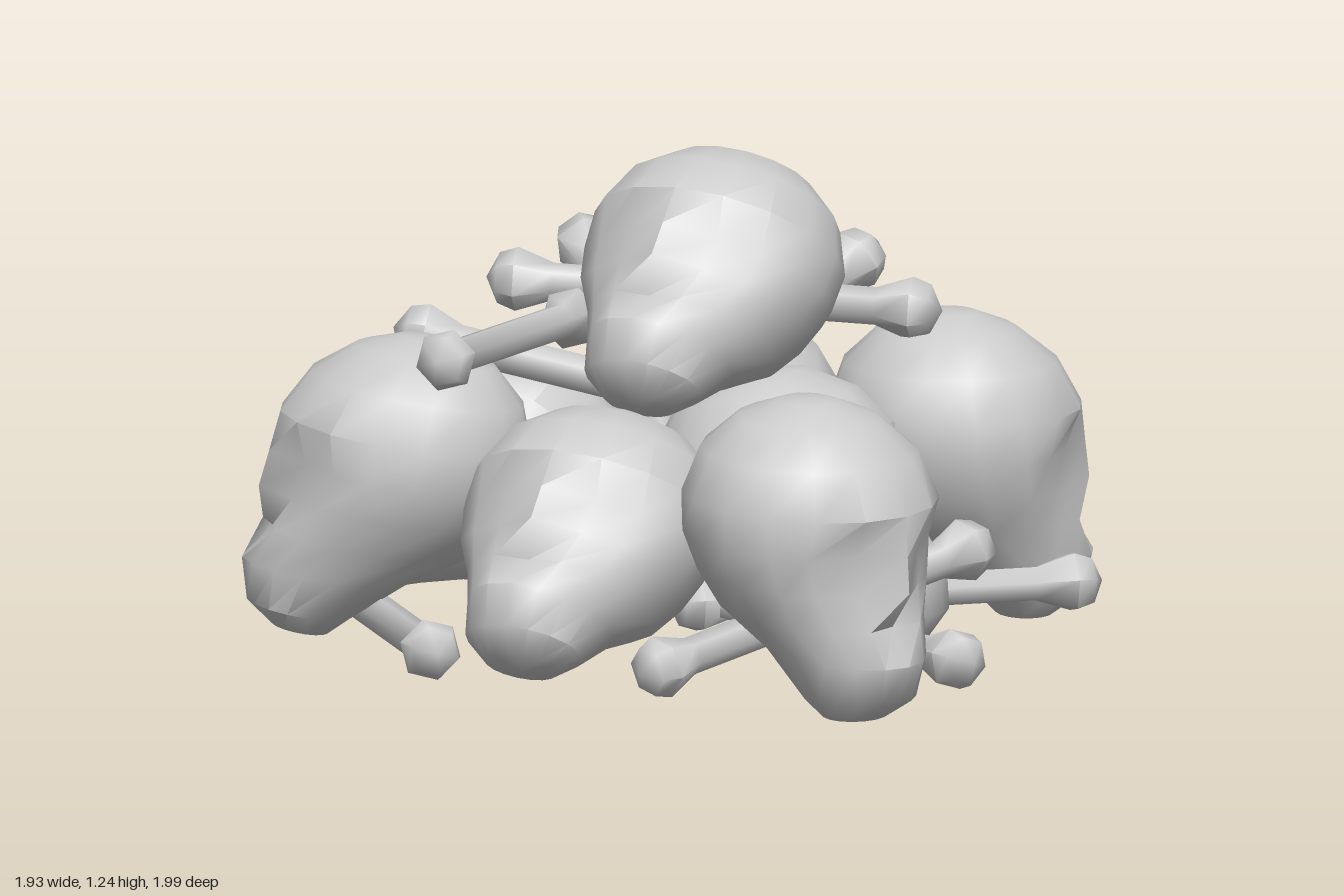
import * as THREE from 'three';
import { toCreasedNormals } from 'three/addons/utils/BufferGeometryUtils.js';

const material = new THREE.MeshStandardMaterial({ color: 0xcccccc });
const SIDES = 16;

// Skull cross-sections from chin to crown: [height, front z, back z, half width]
const SKULL_RINGS = [
  [-0.44, 0.23, 0.09, 0.09],
  [-0.39, 0.30, 0.04, 0.15],
  [-0.29, 0.33, -0.08, 0.18],
  [-0.20, 0.30, -0.22, 0.235],
  [-0.11, 0.32, -0.28, 0.285],
  [-0.02, 0.31, -0.32, 0.31],
  [0.08, 0.30, -0.325, 0.315],
  [0.19, 0.24, -0.285, 0.27],
  [0.27, 0.14, -0.20, 0.18],
  [0.31, 0.04, -0.10, 0.07],
];

// Hollows pressed into the face: ring -> depth at each step away from the midline
const HOLLOWS = {
  3: [0.03, 0, 0],
  4: [0, 0.045, 0.035],
  5: [0, 0.05, 0.035],
};

function skullGeometry() {
  const pos = [];
  const index = [];
  SKULL_RINGS.forEach(([y, front, back, w], i) => {
    for (let j = 0; j < SIDES; j++) {
      const a = (j / SIDES) * Math.PI * 2;
      const step = Math.min(j, SIDES - j);
      const hollow = HOLLOWS[i]?.[step] ?? 0;
      const z = (front + back) / 2 + ((front - back) / 2) * Math.cos(a) - hollow;
      pos.push(w * Math.sin(a), y, z);
    }
  });
  const n = SKULL_RINGS.length;
  for (let i = 0; i < n - 1; i++) {
    for (let j = 0; j < SIDES; j++) {
      const k = (j + 1) % SIDES;
      const a = i * SIDES + j, b = i * SIDES + k;
      index.push(a, b, b + SIDES, a, b + SIDES, a + SIDES);
    }
  }
  // Chin and crown caps
  const chin = n * SIDES, crown = chin + 1, last = (n - 1) * SIDES;
  pos.push(0, -0.45, 0.16, 0, 0.315, -0.03);
  for (let j = 0; j < SIDES; j++) {
    const k = (j + 1) % SIDES;
    index.push(chin, k, j, crown, last + j, last + k);
  }
  const geo = new THREE.BufferGeometry();
  geo.setAttribute('position', new THREE.Float32BufferAttribute(pos, 3));
  geo.setIndex(index);
  return toCreasedNormals(geo, 0.8);
}

// Long bone along y with a blunt faceted knob on each end
function boneGeometry(length) {
  const h = length / 2 + 0.055;
  const half = [[0, h + 0.015], [0.062, h - 0.015], [0.078, h - 0.06], [0.046, h - 0.15]];
  const points = [
    ...half.map(([r, y]) => new THREE.Vector2(r, -y)),
    ...half.map(([r, y]) => new THREE.Vector2(r, y)).reverse(),
  ];
  return toCreasedNormals(new THREE.LatheGeometry(points, 6), 1.1);
}

// Skulls: [name, x, y, z, yaw, upward tilt] in degrees
const SKULLS = [
  ['topSkull', 0, 0.94, -0.04, 6, 37],
  ['frontSkull', 0.01, 0.4, 0.53, 6, 35],
  ['frontRightSkull', -0.55, 0.51, 0.52, -50, 10],
  ['frontLeftSkull', 0.58, 0.455, 0.42, 80, -3],
  ['middleSkull', 0.17, 0.4, -0.12, 98, 20],
  ['backLeftSkull', 0.31, 0.45, -0.69, 132, 0],
  ['backRightSkull', -0.34, 0.42, -0.61, -160, 14],
  ['rightSkull', -0.59, 0.4, -0.02, -15, 45],
];

// Bones: two knob centres each
const BONES = [
  [[-0.9, 0.13, 0.25], [-0.2, 0.15, 0.92]],
  [[0.28, 0.79, -0.53], [-0.63, 0.83, -0.16]],
  [[-0.64, 0.86, -0.5], [-0.03, 0.45, 0.06]],
  [[-0.42, 0.77, -0.08], [-0.19, 0.86, 0.87]],
  [[-0.63, 0.77, 0.27], [0.18, 0.55, -0.17]],
  [[0.02, 0.86, -0.69], [-0.28, 0.42, 0.08]],
  [[0.89, 0.13, 0.26], [-0.03, 0.13, -0.05]],
  [[0.63, 0.29, -0.21], [0.33, 0.13, 0.72]],
  [[0.65, 0.13, -0.67], [0, 0.13, 0.02]],
];

export function createModel() {
  const group = new THREE.Group();
  group.name = 'skullPile';

  const skullGeo = skullGeometry();
  for (const [name, x, y, z, yaw, tilt] of SKULLS) {
    const skull = new THREE.Mesh(skullGeo, material);
    skull.name = name;
    skull.position.set(x, y, z);
    skull.rotation.order = 'YXZ';
    skull.rotation.set(-THREE.MathUtils.degToRad(tilt), THREE.MathUtils.degToRad(yaw), 0);
    group.add(skull);
  }

  const up = new THREE.Vector3(0, 1, 0);
  BONES.forEach(([p, q], i) => {
    const a = new THREE.Vector3(...p);
    const b = new THREE.Vector3(...q);
    const bone = new THREE.Mesh(boneGeometry(a.distanceTo(b)), material);
    bone.name = `bone${i + 1}`;
    bone.position.copy(a).lerp(b, 0.5);
    bone.quaternion.setFromUnitVectors(up, b.sub(a).normalize());
    group.add(bone);
  });
  return group;
}
